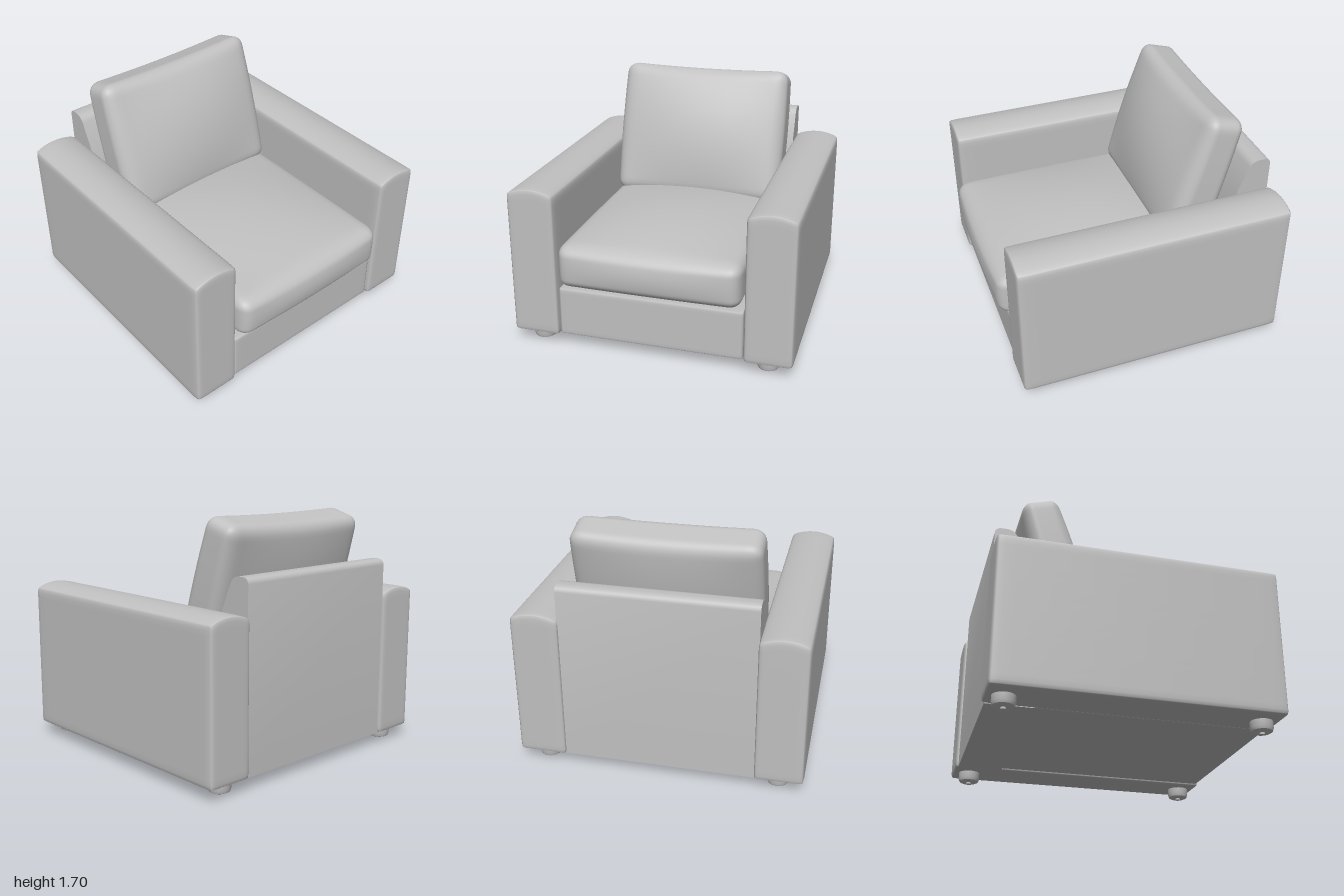
import * as THREE from 'three';
import { mergeVertices, toCreasedNormals } from 'three/addons/utils/BufferGeometryUtils.js';

const clamp = THREE.MathUtils.clamp;

// Subdivided box with elliptical rounded edges, then reshaped by warp(p, u),
// where u is the position scaled to -1..1 on each axis.
function softBox(w, h, d, [rx, ry, rz], n, warp) {
  const half = new THREE.Vector3(w / 2, h / 2, d / 2);
  const r = new THREE.Vector3(rx, ry, rz);
  const core = half.clone().sub(r);
  let geo = new THREE.BoxGeometry(2, 2, 2, n, n, n);
  geo.deleteAttribute('normal');
  geo.deleteAttribute('uv');
  geo = mergeVertices(geo);
  const pos = geo.attributes.position;
  const p = new THREE.Vector3(), q = new THREE.Vector3(), inner = new THREE.Vector3(), u = new THREE.Vector3();
  for (let i = 0; i < pos.count; i++) {
    p.fromBufferAttribute(pos, i);
    // crowd the grid lines toward the rounded edges
    for (const a of ['x', 'y', 'z']) p[a] = Math.sin(p[a] * Math.PI / 2) * half[a];
    inner.copy(p).clamp(core.clone().negate(), core);
    q.copy(p).sub(inner).divide(r).normalize().multiply(r);
    p.copy(inner).add(q);
    u.copy(p).divide(half);
    if (warp) warp(p, u);
    pos.setXYZ(i, p.x, p.y, p.z);
  }
  geo.computeVertexNormals();
  return geo;
}

const crown = (a, b) => Math.max(0, 1 - a * a) * Math.max(0, 1 - b * b);

export function createModel() {
  const chair = new THREE.Group();
  chair.name = 'armchair';
  const fabric = new THREE.MeshStandardMaterial({ color: 0xc0c0c0 });
  fabric.name = 'light grey';

  function add(name, geo, x, y, z) {
    const mesh = new THREE.Mesh(geo, fabric);
    mesh.name = name;
    mesh.position.set(x, y, z);
    chair.add(mesh);
    return mesh;
  }

  // Arms with a gently domed top
  const armGeo = softBox(0.335, 1.025, 1.92, [0.035, 0.018, 0.03], 18, (p, u) => {
    if (u.y > 0) p.y += 0.04 * (1 - u.x * u.x) * clamp(u.y, 0, 1);
  });
  for (const s of [1, -1]) add(s > 0 ? 'leftArm' : 'rightArm', armGeo, s * 0.8225, 0.5975, -0.04);

  // Seat base with its front rail
  add('seatBase', softBox(1.3, 0.35, 1.69, [0.015, 0.015, 0.015], 14), 0, 0.267, 0.055);

  // Backrest frame: side profile, sloped in front and rounded on top
  const side = new THREE.Shape();
  side.moveTo(-0.98, 0.085);
  side.lineTo(-0.98, 1.32);
  side.quadraticCurveTo(-0.975, 1.36, -0.93, 1.36);
  side.lineTo(-0.90, 1.36);
  side.quadraticCurveTo(-0.845, 1.36, -0.825, 1.31);
  side.lineTo(-0.75, 1.14);
  side.lineTo(-0.66, 0.7);
  side.lineTo(-0.66, 0.085);
  side.closePath();
  const backGeo = new THREE.ExtrudeGeometry(side, { depth: 1.33, bevelEnabled: false, curveSegments: 8 });
  backGeo.translate(0, 0, -0.665);
  backGeo.rotateY(-Math.PI / 2);
  add('backFrame', toCreasedNormals(backGeo, 0.6), 0, 0, 0);

  // Seat cushion: crowned on top, bowed at the front
  const seatGeo = softBox(1.27, 0.31, 1.55, [0.08, 0.07, 0.1], 30, (p, u) => {
    const k = crown(u.x, u.z);
    if (u.y > 0) p.y += 0.09 * k * u.y;
    else p.y += 0.02 * k * u.y;
    if (u.z > 0) p.z += 0.035 * crown(u.x * 0.9, u.y) * u.z;
  });
  add('seatCushion', seatGeo, 0, 0.625, 0.185);

  // Back cushion: leaning, plump in front, thinner toward the top
  const pillowGeo = softBox(1.26, 1.0, 0.29, [0.09, 0.08, 0.07], 30, (p, u) => {
    const k = crown(u.x, u.y);
    p.z *= 1 - 0.08 * u.y;
    p.z += (u.z > 0 ? 0.09 : 0.05) * k * u.z;
    if (u.y > 0) p.y -= 0.015 * (1 - u.x * u.x) * u.y;
    p.x += 0.012 * u.x * (1 - u.y * u.y);
  });
  add('backCushion', pillowGeo, 0, 1.205, -0.53).rotation.x = -0.29;

  // Feet: squat rounded pads with a small glide below
  const footProfile = [[0, 0], [0.018, 0], [0.018, 0.012], [0.055, 0.012], [0.07, 0.02], [0.077, 0.04], [0.077, 0.1]]
    .map(([x, y]) => new THREE.Vector2(x, y));
  const footGeo = toCreasedNormals(new THREE.LatheGeometry(footProfile, 28), 0.7);
  for (const s of [1, -1]) {
    for (const [name, z] of [['Front', 0.8], ['Rear', -0.88]]) {
      add((s > 0 ? 'left' : 'right') + name + 'Foot', footGeo, s * 0.81, 0, z);
    }
  }
  return chair;
}
